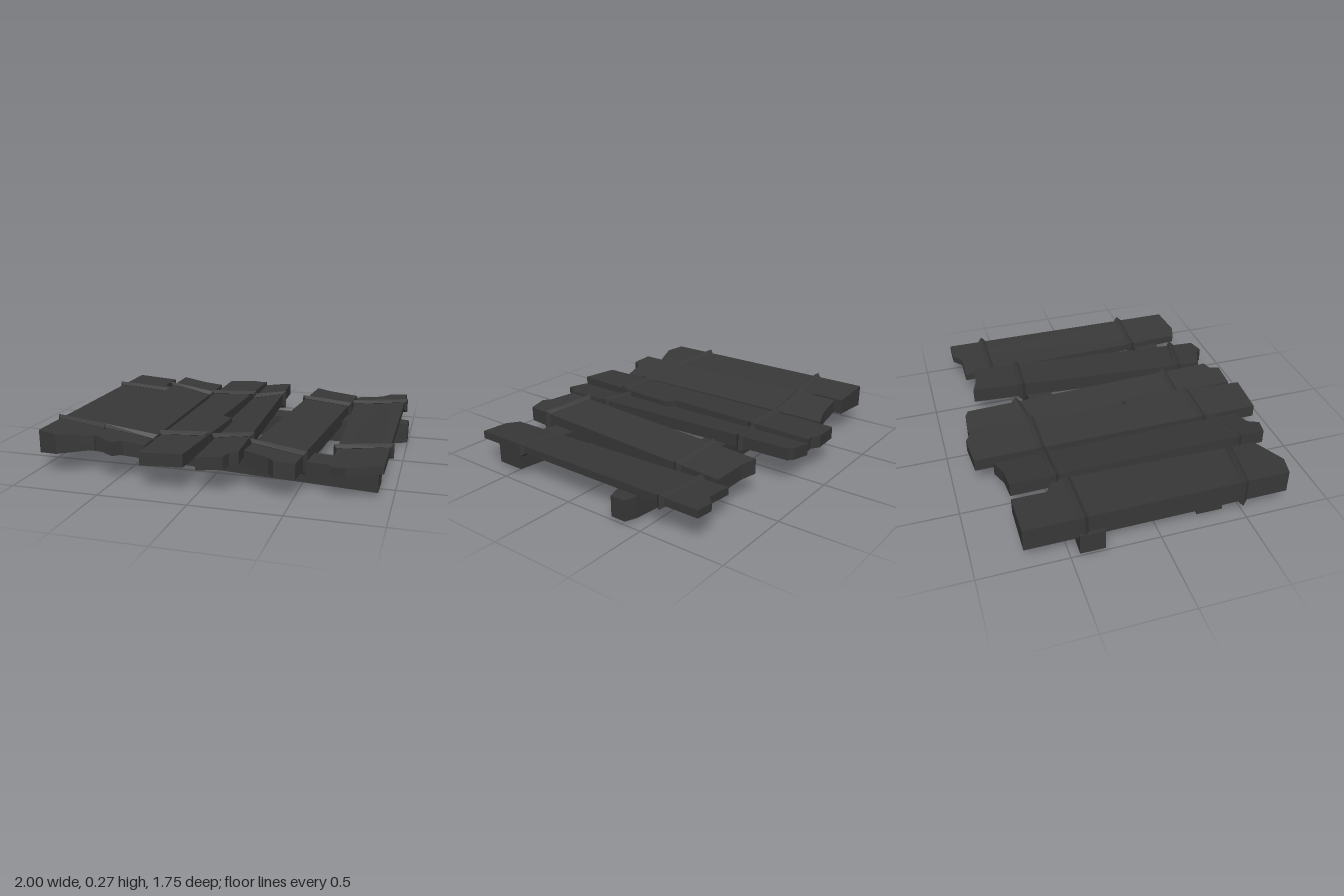
import * as THREE from 'three';

const { lerp } = THREE.MathUtils;
const material = new THREE.MeshStandardMaterial({ color: 0x383838, flatShading: true });

function addMesh(parent, name, geometry) {
  const mesh = new THREE.Mesh(geometry, material);
  mesh.name = name;
  parent.add(mesh);
}

// Joins four-cornered rings into a skin, either looped round or capped at both ends
function skin(rings, looped) {
  const index = [];
  const last = rings.length - 1;
  for (let i = 0; i < (looped ? rings.length : last); i++) {
    const next = (i + 1) % rings.length;
    for (let j = 0; j < 4; j++) {
      const k = (j + 1) % 4;
      const a = i * 4 + j, b = i * 4 + k, c = next * 4 + k, d = next * 4 + j;
      index.push(a, b, c, a, c, d);
    }
  }
  if (!looped) {
    const e = last * 4;
    index.push(0, 2, 1, 0, 3, 2, e, e + 1, e + 2, e, e + 2, e + 3);
  }
  const indexed = new THREE.BufferGeometry();
  indexed.setAttribute('position', new THREE.Float32BufferAttribute(rings.flat(2), 3));
  indexed.setIndex(index);
  const g = indexed.toNonIndexed();
  g.computeVertexNormals();
  return g;
}

// A point on a plank: t runs left to right, z along it, level 0 underside to 1 top
function pointOn({ left, right, top, thick, flare = 0 }, t, z, level) {
  const x = lerp(left[0] + left[1] * z, right[0] + right[1] * z, t);
  const y = lerp(top[0], top[1], t) - (1 - level) * (thick + flare * (0.5 - t));
  return new THREE.Vector3(x, y, z);
}

// Plank: broken-ended outline of [t, z] points, extruded and tilted
function plankGeometry(plank) {
  const shape = new THREE.Shape(plank.outline.map(([t, z]) => new THREE.Vector2(t, -z)));
  const g = new THREE.ExtrudeGeometry(shape, { depth: 1, bevelEnabled: false });
  g.rotateX(-Math.PI / 2);
  const pos = g.attributes.position;
  for (let i = 0; i < pos.count; i++) {
    const p = pointOn(plank, pos.getX(i), pos.getZ(i), pos.getY(i));
    pos.setXYZ(i, p.x, p.y, p.z);
  }
  g.computeVertexNormals();
  return g;
}

// Rope: a ridged band wrapped round the four edges of a plank
function ropeGeometry(plank, z, slant = 0) {
  const halfWidth = 0.023;
  const corners = [[0, 0], [1, 0], [1, 1], [0, 1]];
  return skin(corners.map(([t, level]) => {
    const p = pointOn(plank, t, z + slant * (t - 0.5), level);
    const section = [[halfWidth, 0.003], [0, 0.021], [-halfWidth, 0.003], [0, -0.01]];
    return section.map(([dz, out]) => [
      p.x + (t ? out : -out), p.y + (level ? out : -out), p.z + dz,
    ]);
  }), true);
}

function addPlank(parent, name, plank) {
  const part = new THREE.Group();
  part.name = name;
  addMesh(part, 'board', plankGeometry(plank));
  addMesh(part, 'backRope', ropeGeometry(plank, ...plank.backRope));
  addMesh(part, 'frontRope', ropeGeometry(plank, ...plank.frontRope));
  parent.add(part);
}

// Beam: stations of [x, z, half width, underside height]
function beamGeometry(stations) {
  const top = 0.14;
  return skin(stations.map(([x, z, w, y]) => [
    [x, y, z - w], [x, top, z - w], [x, top, z + w], [x, y, z + w],
  ]), false);
}

export function createModel() {
  const group = new THREE.Group();
  group.name = 'plankPlatform';

  // Planks: left and right edges are [x at the middle, lean along z]
  addPlank(group, 'farRightPlank', {
    left: [-0.977, 0.005], right: [-0.65, -0.01], top: [0.243, 0.22], thick: 0.108, flare: 0.05,
    outline: [[0, -0.74], [0.79, -0.74], [0.79, -0.55], [1.06, -0.49], [1, 0.69], [0.37, 0.77], [0, 0.74]],
    backRope: [-0.42], frontRope: [0.5, 0.055],
  });
  addPlank(group, 'rightPlank', {
    left: [-0.62, 0.013], right: [-0.354, 0.017], top: [0.25, 0.2], thick: 0.08,
    outline: [[0, -0.73], [0.55, -0.735], [1, -0.77], [1, 0.72], [0.55, 0.74], [0.4, 0.8], [0, 0.77]],
    backRope: [-0.48], frontRope: [0.59, -0.03],
  });
  addPlank(group, 'middleRightPlank', {
    left: [-0.32, 0.005], right: [-0.058, -0.01], top: [0.208, 0.223], thick: 0.073,
    outline: [[0, -0.87], [0.65, -0.885], [0.84, -0.855], [1, -0.86], [0.9, 0.1], [1.16, 0.14], [1, 0.87], [0, 0.86]],
    backRope: [-0.485], frontRope: [0.51],
  });
  addPlank(group, 'middleLeftPlank', {
    left: [-0.03, 0.02], right: [0.168, 0.045], top: [0.198, 0.225], thick: 0.072,
    outline: [[0, -0.86], [0.8, -0.85], [1, -0.83], [1, 0.75], [0.78, 0.77], [0.7, 0.83], [0, 0.83], [0.07, 0.1], [-0.08, 0.1]],
    backRope: [-0.51, -0.04], frontRope: [0.455],
  });
  addPlank(group, 'leftPlank', {
    left: [0.283, -0.083], right: [0.572, -0.075], top: [0.225, 0.2], thick: 0.088,
    outline: [[0, -0.76], [0.34, -0.73], [1, -0.71], [1, 0.79], [0.63, 0.81], [0.5, 0.77], [0, 0.72]],
    backRope: [-0.445, 0.02], frontRope: [0.605, 0.065],
  });
  addPlank(group, 'farLeftPlank', {
    left: [0.65, 0.04], right: [0.953, 0], top: [0.175, 0.208], thick: 0.045,
    outline: [[0, -0.77], [0.5, -0.77], [0.66, -0.82], [1, -0.82], [1, 0.72], [0.3, 0.75], [0, 0.72]],
    backRope: [-0.6], frontRope: [0.395],
  });

  // Supporting beams
  addMesh(group, 'backBeam', beamGeometry([
    [-1, -0.38, 0.07, 0.015], [0.2, -0.345, 0.075, 0], [0.65, -0.355, 0.085, 0.005],
    [0.93, -0.355, 0.065, 0.015], [1, -0.355, 0.045, 0.02],
  ]));
  addMesh(group, 'frontBeam', beamGeometry([
    [-0.92, 0.31, 0.075, 0.025], [-0.33, 0.37, 0.08, 0.015], [0.2, 0.445, 0.075, 0.015], [0.92, 0.545, 0.085, 0.025],
  ]));
  return group;
}
